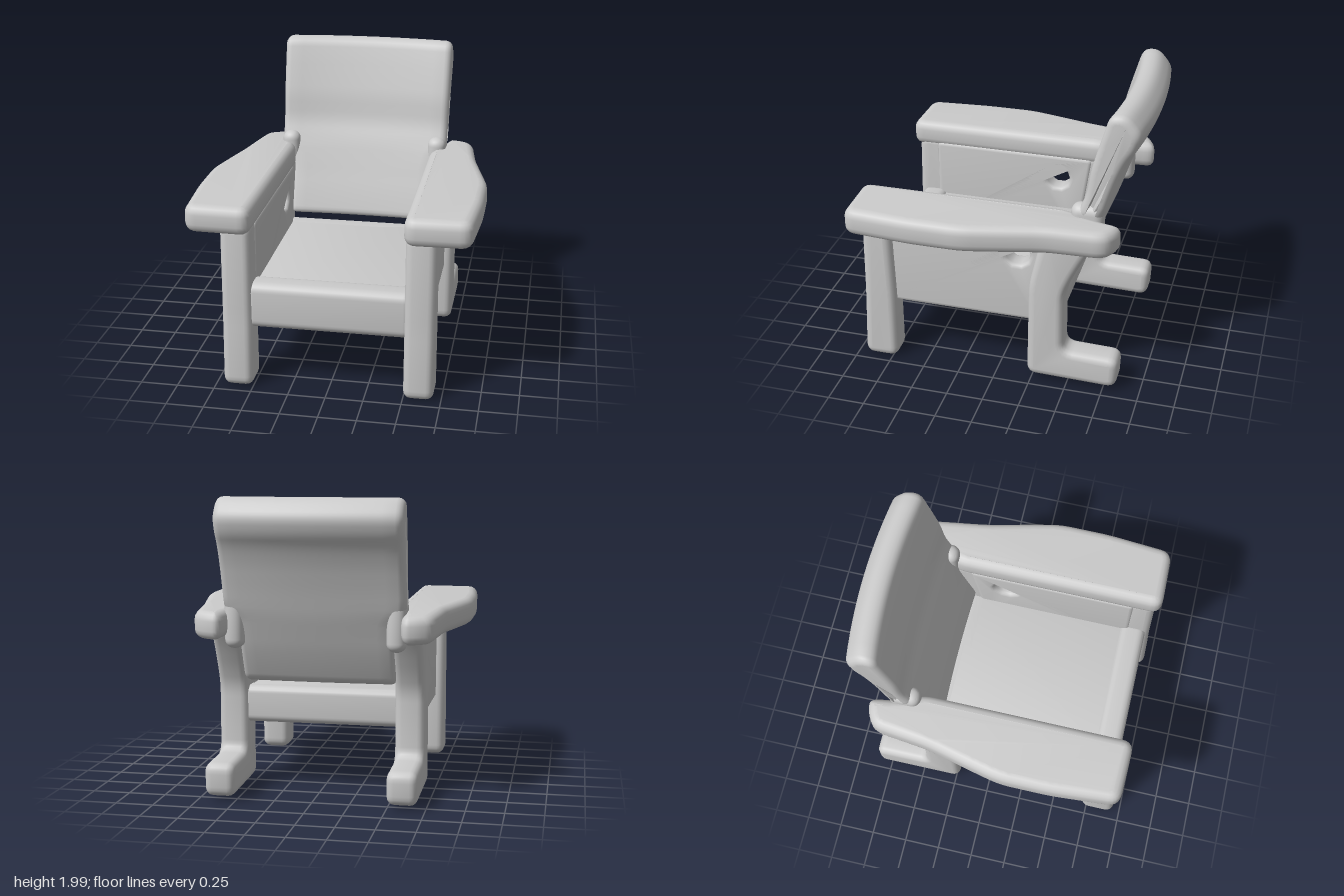
import * as THREE from 'three';
import { toCreasedNormals } from 'three/addons/utils/BufferGeometryUtils.js';
import { RoundedBoxGeometry } from 'three/addons/geometries/RoundedBoxGeometry.js';

const material = new THREE.MeshStandardMaterial({ color: 0xcccccc });

// Closed outline with every corner rounded by radius r
function roundedShape(pts, r) {
  const v = pts.map(p => new THREE.Vector2(...p));
  const s = new THREE.Shape();
  v.forEach((p, i) => {
    const towards = q => {
      const d = q.clone().sub(p);
      return p.clone().add(d.setLength(Math.min(r, d.length() * 0.45)));
    };
    const a = towards(v[(i + v.length - 1) % v.length]);
    const b = towards(v[(i + 1) % v.length]);
    if (i === 0) s.moveTo(a.x, a.y); else s.lineTo(a.x, a.y);
    s.quadraticCurveTo(p.x, p.y, b.x, b.y);
  });
  s.closePath();
  return s;
}

// Soft-edged slab, centred along its thickness
function slab(shape, thickness, bevel, steps = 1) {
  const g = new THREE.ExtrudeGeometry(shape, {
    depth: thickness - 2 * bevel, steps, curveSegments: 5,
    bevelThickness: bevel, bevelSize: bevel, bevelOffset: -bevel, bevelSegments: 4,
  });
  return g.translate(0, 0, -(thickness / 2 - bevel));
}

// Slab whose outline is given as [z, y] and whose thickness runs along x
const sideSlab = (...args) => slab(...args).rotateY(-Math.PI / 2);

// Rounded box from its limits
function box(x0, x1, y0, y1, z0, z1, r) {
  return new RoundedBoxGeometry(x1 - x0, y1 - y0, z1 - z0, 4, r)
    .translate((x0 + x1) / 2, (y0 + y1) / 2, (z0 + z1) / 2);
}

function deform(g, rule) {
  const p = g.attributes.position, v = new THREE.Vector3();
  for (let i = 0; i < p.count; i++) {
    v.fromBufferAttribute(p, i);
    rule(v);
    p.setXYZ(i, v.x, v.y, v.z);
  }
  return g;
}

export function createModel() {
  const chair = new THREE.Group();
  chair.name = 'armchair';
  const add = (name, geometry) => {
    const m = new THREE.Mesh(toCreasedNormals(geometry, 0.8), material);
    m.name = name;
    chair.add(m);
  };

  // Parts found on both sides
  for (const s of [1, -1]) {
    const side = s > 0 ? 'left' : 'right';
    const span = (a, b) => (s > 0 ? [a, b] : [-b, -a]);

    // Front leg, slightly fuller at the foot
    add(side + 'FrontLeg', sideSlab(roundedShape([
      [0.71, 0.01], [0.95, 0.01], [0.93, 0.5], [0.92, 1.15], [0.73, 1.15], [0.71, 0.5],
    ], 0.07), 0.2, 0.05).translate(s * 0.6, 0, 0));

    // Back leg with rearward foot and leaning upper part
    add(side + 'BackLeg', sideSlab(roundedShape([
      [-0.22, 0.05], [-0.84, 0.035], [-0.85, 0.26], [-0.47, 0.27],
      [-0.47, 0.71], [-0.52, 0.84], [-0.6, 1.0], [-0.69, 1.15], [-0.32, 1.15], [-0.23, 0.75],
    ], 0.07), 0.2, 0.05).translate(s * 0.6, 0, 0));

    // Side panel with a round opening near the back
    const panel = roundedShape([[-0.3, 0.45], [0.78, 0.45], [0.78, 1.13], [-0.4, 1.13]], 0.04);
    panel.holes.push(new THREE.Path().absellipse(-0.14, 0.95, 0.09, 0.085, 0, Math.PI * 2, true));
    add(side + 'SidePanel', sideSlab(panel, 0.15, 0.03).translate(s * 0.565, 0, 0));

    // Armrest, broad in front and narrow behind
    const outline = [
      [0.49, 0.965], [0.92, 0.955], [0.955, 0.5], [0.955, 0.15], [0.91, -0.05],
      [0.835, -0.36], [0.785, -0.75], [0.69, -0.81], [0.59, -0.83], [0.56, -0.6], [0.49, -0.48],
    ].map(([x, z]) => [s * x, z]);
    const arm = slab(roundedShape(outline, 0.08), 0.185, 0.06).rotateX(Math.PI / 2);
    add(side + 'Armrest', deform(arm.translate(0, 1.18, 0), v => {
      if (v.z < -0.4) v.y -= 0.02 * (-0.4 - v.z) / 0.4;
    }));

    // Soft joint between armrest and backrest
    add(side + 'BackJoint', box(...span(0.47, 0.6), 1.0, 1.34, -0.7, -0.48, 0.06));
  }

  // Seat and its crosspieces
  add('seat', box(-0.53, 0.53, 0.55, 0.71, -0.4, 0.82, 0.04));
  add('frontBoard', deform(box(-0.55, 0.55, 0.41, 0.735, 0.71, 0.9, 0.06), v => {
    if (v.y < 0.5) v.y += 0.02 * Math.abs(v.x);
  }));
  add('backBeam', box(-0.55, 0.55, 0.46, 0.71, -0.44, -0.26, 0.05));

  // Leaning backrest: narrow between the arms, bowed backward in the middle
  const profile = roundedShape([
    [-0.35, 0.755], [-0.45, 1.05], [-0.52, 1.28], [-0.575, 1.42], [-0.6, 1.6], [-0.64, 1.75],
    [-0.71, 1.99], [-0.82, 2.0], [-0.92, 1.88], [-0.89, 1.77], [-0.83, 1.68],
    [-0.78, 1.56], [-0.73, 1.4], [-0.68, 1.22], [-0.6, 1.0], [-0.49, 0.755],
  ], 0.06);
  add('backrest', deform(sideSlab(profile, 1.22, 0.05, 14), v => {
    const t = THREE.MathUtils.smoothstep(v.y, 1.16, 1.3);
    const bow = 1 - (v.x / 0.61) ** 2;
    v.z -= (0.015 + 0.035 * THREE.MathUtils.smoothstep(v.y, 0.9, 1.95)) * bow;
    v.x *= THREE.MathUtils.lerp(0.85, 0.985 + 0.015 * (v.y - 1), t);
  }));

  return chair;
}
